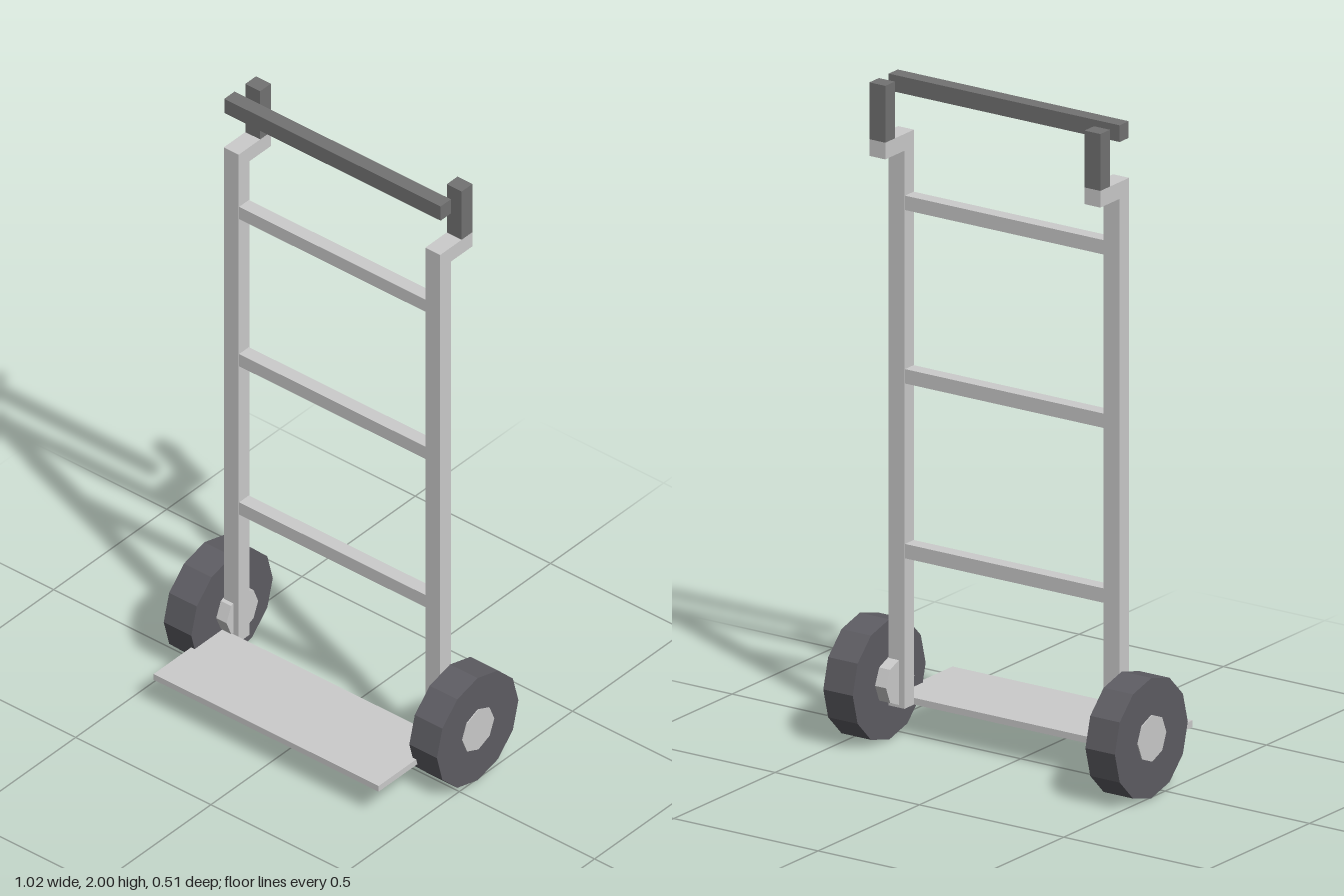
import * as THREE from 'three';

export function createModel() {
  const model = new THREE.Group();
  model.name = 'handTruck';

  const metal = new THREE.MeshStandardMaterial({ color: 0xcccccc, flatShading: true });
  const grip = new THREE.MeshStandardMaterial({ color: 0x737373, flatShading: true });
  const rubber = new THREE.MeshStandardMaterial({ color: 0x5e5d63, flatShading: true });

  // Box given by its extents on each axis
  function box(name, material, [x0, x1], [y0, y1], [z0, z1]) {
    const mesh = new THREE.Mesh(new THREE.BoxGeometry(x1 - x0, y1 - y0, z1 - z0), material);
    mesh.position.set((x0 + x1) / 2, (y0 + y1) / 2, (z0 + z1) / 2);
    mesh.name = name;
    model.add(mesh);
  }

  // Cylinder along x, centred on the wheel axis
  function disc(name, material, radius, sides, x0, x1) {
    const geometry = new THREE.CylinderGeometry(radius, radius, x1 - x0, sides).rotateZ(Math.PI / 2);
    const mesh = new THREE.Mesh(geometry, material);
    mesh.position.set((x0 + x1) / 2, 0.185, -0.075);
    mesh.name = name;
    model.add(mesh);
  }

  for (const [side, s] of [['left', 1], ['right', -1]]) {
    const span = (a, b) => (s > 0 ? [a, b] : [-b, -a]);

    // Upright rail, rearward step and handle post
    box(side + 'Rail', metal, span(0.345, 0.4), [0.11, 1.83], [-0.082, -0.035]);
    box(side + 'HandleStep', metal, span(0.345, 0.4), [1.78, 1.83], [-0.177, -0.082]);
    box(side + 'HandlePost', grip, span(0.345, 0.4), [1.83, 2], [-0.177, -0.13]);

    // Wheel with a hub running through to the rail
    disc(side + 'Wheel', rubber, 0.18, 12, ...span(0.403, 0.505));
    disc(side + 'Hub', metal, 0.07, 8, ...span(0.365, 0.508));
  }

  // Cross rungs
  for (const y of [0.56, 1.083, 1.602]) {
    box('rung', metal, [-0.345, 0.345], [y, y + 0.043], [-0.08, -0.037]);
  }

  // Top handle bar and load plate
  box('handleBar', grip, [-0.4, 0.4], [1.95, 2], [-0.082, -0.037]);
  box('loadPlate', metal, [-0.416, 0.416], [0.11, 0.13], [-0.035, 0.256]);

  return model;
}
